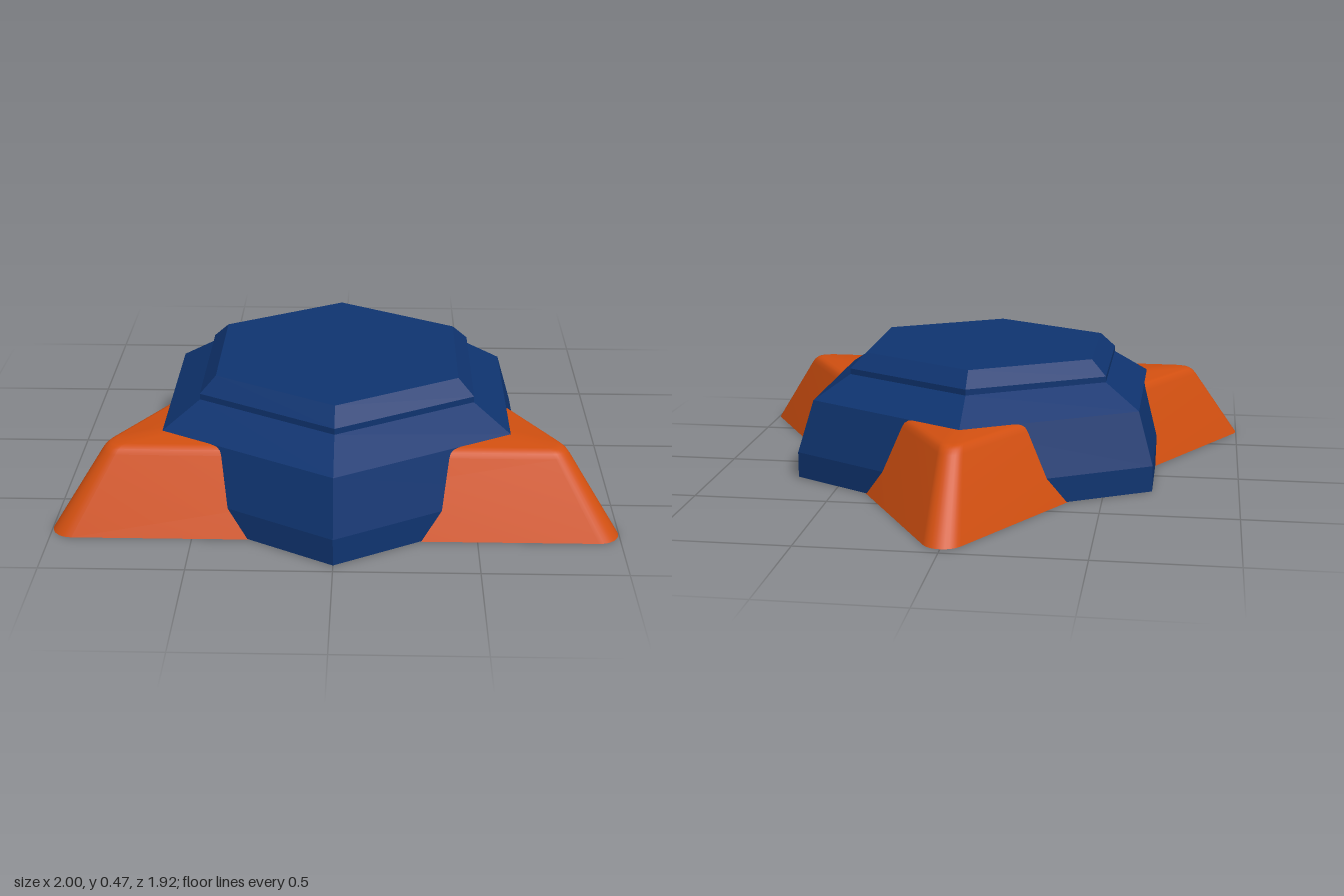
import * as THREE from 'three';
import { toCreasedNormals } from 'three/addons/utils/BufferGeometryUtils.js';

const CENTRE_Z = 0.179;

// Outline of a triangle with rounded corners, one tip towards -z.
function triangleRing(y, inradius, r, steps = 10) {
  const ring = [];
  for (let corner = 0; corner < 3; corner++) {
    const mid = Math.PI + corner * Math.PI * 2 / 3;
    const reach = 2 * (inradius - r);
    for (let i = 0; i <= steps; i++) {
      const a = mid + (i / steps - 0.5) * Math.PI * 2 / 3;
      ring.push(new THREE.Vector3(
        reach * Math.sin(mid) + r * Math.sin(a), y,
        reach * Math.cos(mid) + r * Math.cos(a)));
    }
  }
  return ring;
}

// Skin a stack of rings, listed from the bottom up, and cap both ends.
function skinRings(rings) {
  const pos = [];
  const tri = (...pts) => pts.forEach((p) => pos.push(p.x, p.y, p.z));
  const n = rings[0].length;
  const low = rings[0], high = rings[rings.length - 1];
  const lowMid = new THREE.Vector3(0, low[0].y, 0);
  const highMid = new THREE.Vector3(0, high[0].y, 0);
  for (let i = 0; i < n; i++) {
    const j = (i + 1) % n;
    for (let k = 0; k < rings.length - 1; k++) {
      const a = rings[k], b = rings[k + 1];
      tri(a[i], a[j], b[j]);
      tri(a[i], b[j], b[i]);
    }
    tri(lowMid, low[j], low[i]);
    tri(highMid, high[i], high[j]);
  }
  const geo = new THREE.BufferGeometry();
  geo.setAttribute('position', new THREE.Float32BufferAttribute(pos, 3));
  return toCreasedNormals(geo, 0.6);
}

export function createModel() {
  const group = new THREE.Group();
  const add = (name, geometry, material) => {
    const mesh = new THREE.Mesh(geometry, material);
    mesh.name = name;
    mesh.position.z = CENTRE_Z;
    group.add(mesh);
  };
  const orange = new THREE.MeshStandardMaterial({ color: 0xd14f10 });
  const blue = new THREE.MeshStandardMaterial({ color: 0x0f3470, flatShading: true });

  // Sloping triangular base with a softened top edge: [height, inradius, corner radius]
  const base = [
    [0, 0.608, 0.075], [0.27, 0.497, 0.052], [0.286, 0.489, 0.05],
    [0.296, 0.479, 0.047], [0.3, 0.465, 0.042],
  ];
  add('triangularBase', skinRings(base.map((r) => triangleRing(...r))), orange);

  // Six-sided housing: upright foot, tapered wall, skirt and chamfered lid
  const profile = [
    [0, 0.002], [0.783, 0.002], [0.783, 0.1], [0.717, 0.3],
    [0.567, 0.39], [0.567, 0.412], [0.502, 0.47], [0, 0.47],
  ].map(([r, y]) => new THREE.Vector2(r, y));
  const housing = new THREE.LatheGeometry(profile, 6).toNonIndexed();
  housing.computeVertexNormals();
  add('hexagonalHousing', housing, blue);

  return group;
}
